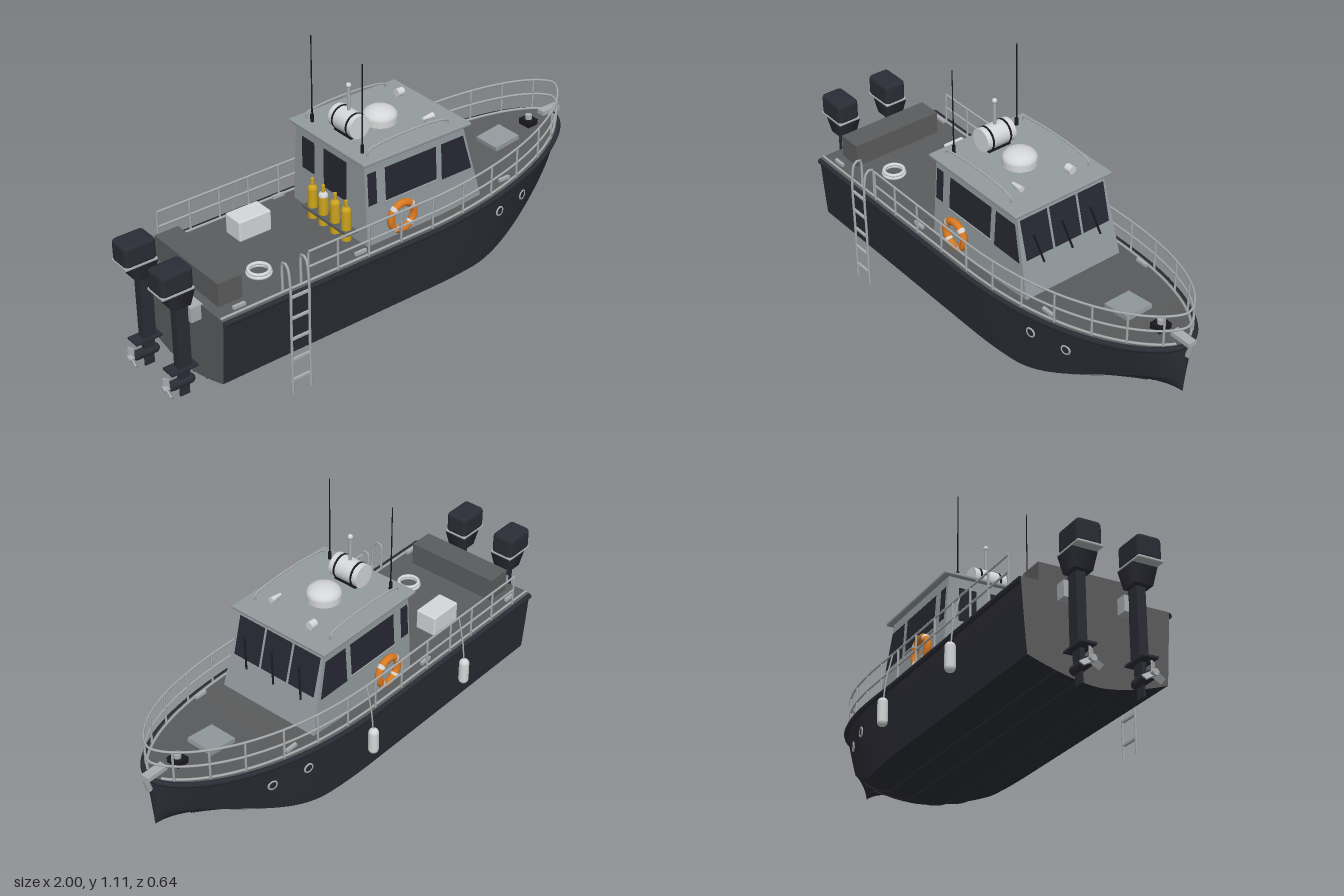
import * as THREE from 'three';
import { RoundedBoxGeometry } from 'three/addons/geometries/RoundedBoxGeometry.js';

const mat = (name, color, side = THREE.FrontSide) => {
  const m = new THREE.MeshStandardMaterial({ color, side });
  m.name = name;
  return m;
};
const V = (x, y, z) => new THREE.Vector3(x, y, z);
const lerp = THREE.MathUtils.lerp;

// Hull lines as functions of the station x
const STERN = -0.84, BOW = 0.96;
const run = x => THREE.MathUtils.clamp((x - 0.1) / 0.86, 0, 1);
const beam = x => 0.008 + 0.277 * Math.pow(1 - Math.pow(run(x), 2.4), 0.6);
const sheer = x => 0.415 + 0.085 * Math.pow(run(x), 1.5);
const keel = x => 0.08 + 0.2 * THREE.MathUtils.smoothstep(x, 0.33, BOW);
const chine = x => 0.006 + 0.259 * Math.pow(1 - Math.pow(run(x), 2.2), 0.8);
// t: 0 at the keel, +-0.5 at the chine, +-1 at the sheer
function hullPoint(x, t, out = 0) {
  const a = Math.abs(t), s = Math.sign(t), k = keel(x), h = k + 0.062, c = chine(x);
  if (a <= 0.5) return V(x, k + 0.062 * Math.pow(a * 2, 1.6) - out, s * c * a * 2);
  const f = a * 2 - 1;
  return V(x, lerp(h, sheer(x), f), s * (lerp(c, beam(x), Math.pow(f, 0.9)) + out));
}
const station = u => lerp(STERN, BOW, 1 - Math.pow(1 - u, 1.6));

// Surface from a function of u and v
function grid(fn, nu, nv) {
  const pos = [], idx = [];
  for (let i = 0; i <= nu; i++) for (let j = 0; j <= nv; j++) pos.push(...fn(i / nu, j / nv).toArray());
  for (let i = 0; i < nu; i++) for (let j = 0; j < nv; j++) {
    const a = i * (nv + 1) + j, b = a + nv + 1;
    idx.push(a, b, a + 1, b, b + 1, a + 1);
  }
  const g = new THREE.BufferGeometry();
  g.setAttribute('position', new THREE.Float32BufferAttribute(pos, 3));
  g.setIndex(idx);
  g.computeVertexNormals();
  return g;
}
const box = (w, h, d) => new THREE.BoxGeometry(w, h, d);
const cyl = (r, h, r2 = r, n = 20) => new THREE.CylinderGeometry(r2, r, h, n);
const tube = (pts, r, n = 6, seg = pts.length * 4) => new THREE.TubeGeometry(
  pts.length === 2 ? new THREE.LineCurve3(...pts) : new THREE.CatmullRomCurve3(pts), pts.length === 2 ? 1 : seg, r, n);

export function createModel() {
  const root = new THREE.Group();
  root.name = 'patrolBoat';
  const D = THREE.DoubleSide;
  const hull = mat('hullNavy', 0x2b2c35, D), deck = mat('deckGrey', 0x5b5c5d, D), cabinM = mat('cabinGrey', 0x939b9e),
    glass = mat('darkGlass', 0x262732, D), metal = mat('railMetal', 0xa9adaf), white = mat('white', 0xd4d6d7),
    orange = mat('orange', 0xdb7a22), yellow = mat('yellow', 0xcba41e), black = mat('black', 0x1a1a1e),
    patchM = mat('patchGrey', 0x66686b, D);
  const add = (name, geo, m, x = 0, y = 0, z = 0, parent = root) => {
    const o = new THREE.Mesh(geo, m);
    o.name = name;
    o.position.set(x, y, z);
    parent.add(o);
    return o;
  };

  // Hull shell, transom, deck
  add('hullBottom', grid((u, v) => hullPoint(station(u), v - 0.5), 60, 20), hull);
  for (const s of [-1, 1]) add('hullSide', grid((u, v) => hullPoint(station(u), s * (0.5 + v / 2)), 60, 8), hull);
  add('transom', grid((u, v) => {
    const p = hullPoint(STERN, u * 2 - 1);
    return V(STERN, lerp(p.y, sheer(STERN), v), p.z);
  }, 40, 1), deck);
  add('stem', grid((u, v) => {
    const p = hullPoint(BOW, u);
    return V(BOW, p.y, p.z * (v * 2 - 1));
  }, 10, 1), hull);
  add('deck', grid((u, v) => {
    const x = station(u);
    return V(x, sheer(x) - 0.003, (v * 2 - 1) * beam(x));
  }, 60, 2), deck);

  const stations = Array.from({ length: 40 }, (_, i) => station(i / 39));
  for (const s of [-1, 1]) {
    // Rub rail, gunwale cap, bottom strakes
    add('rubRail', tube(stations.map(x => V(x, sheer(x) - 0.012, s * beam(x))), 0.011, 8), hull);
    add('gunwaleCap', tube(stations.slice(0, 38).map(x => V(x, sheer(x) + 0.002, s * Math.max(beam(x) - 0.018, 0.004))), 0.005), metal);
    for (const t of [0.14, 0.3]) add('strake', tube(stations.slice(0, 33).map(x => hullPoint(x, s * t)), 0.004, 5), hull);
    // Checkered plates under the bow
    [[0.0, 0.6], [0.14, 0.58], [0.14, 0.68], [0.25, 0.63], [0.36, 0.58], [0.38, 0.67]].forEach(([t, x], i) =>
      add('bowPlate', grid((u, v) => hullPoint(x + (i ? 0.05 : 0.07) * u, s * (t + (i ? 0.09 : 0.03) * v), 0.004), 4, 4), patchM));
    // Portholes
    for (const x of [0.45, 0.6]) {
      const f = (0.345 - keel(x) - 0.062) / (sheer(x) - keel(x) - 0.062), t = s * (0.5 + f / 2);
      const p = hullPoint(x, t, 0.002), q = hullPoint(x + 0.02, t, 0.002);
      const g = new THREE.Group();
      g.name = 'porthole';
      g.position.copy(p);
      g.rotation.y = Math.atan2(-(q.z - p.z), 0.02);
      root.add(g);
      add('portholeRim', new THREE.TorusGeometry(0.017, 0.004, 8, 24), metal, 0, 0, 0, g);
      add('portholeGlass', new THREE.CircleGeometry(0.016, 20), glass, 0, 0, s * 0.002, g);
    }
    // Cleats
    for (const x of [-0.75, -0.22, 0.5]) add('cleat', box(0.05, 0.012, 0.012), metal, x, sheer(x) + 0.012, s * (beam(x) - 0.035));
  }

  // Guard rails: two runs each side meeting at the bow, with posts
  const railPt = (x, s, h) => V(x, sheer(x) + h, s * Math.max(beam(x) - 0.012, 0));
  const railX = from => stations.filter(x => x > from + 0.01 && x < 0.957);
  for (const h of [0.065, 0.128]) {
    const right = [-0.74, ...railX(-0.74)], left = [-0.47, ...railX(-0.47)];
    const path = [...right.map(x => railPt(x, -1, h)), V(0.96, sheer(BOW) + h, 0), ...left.reverse().map(x => railPt(x, 1, h))];
    add('guardRail', tube(path, 0.0045, 6, 200), metal);
  }
  for (const s of [-1, 1]) for (const x of [-0.74, -0.6, -0.47, -0.34, -0.2, -0.05, 0.1, 0.25, 0.4, 0.55, 0.7, 0.82, 0.92])
    if (s < 0 || x > -0.5) add('railPost', tube([railPt(x, s, 0), railPt(x, s, 0.128)], 0.0045), metal);

  // Cabin: a box narrowed upward with a raked front
  const ty = y => (y - 0.41) / 0.34;
  const front = y => lerp(0.385, 0.297, ty(y)), wall = y => lerp(0.222, 0.2, ty(y)), BACK = -0.165;
  const cabinG = box(1, 1, 1), P = cabinG.attributes.position;
  for (let i = 0; i < P.count; i++) {
    const y = lerp(0.41, 0.75, P.getY(i) + 0.5);
    P.setXYZ(i, P.getX(i) > 0 ? front(y) : BACK, y, Math.sign(P.getZ(i)) * wall(y));
  }
  cabinG.computeVertexNormals();
  add('cabin', cabinG, cabinM);
  add('roof', new RoundedBoxGeometry(0.505, 0.014, 0.446, 2, 0.005), cabinM, 0.07, 0.752, 0);
  for (const s of [-1, 1]) {
    for (const [a, b, y0] of [[-0.155, -0.115, 0.575], [-0.075, 0.165, 0.572], [0.19, null, 0.56]])
      add('sideWindow', grid((u, v) => {
        const y = lerp(y0, 0.705, v);
        return V(lerp(a, b ?? front(y) - 0.012, u), y, s * (wall(y) + 0.003));
      }, 1, 1), glass);
    add('windowSill', box(0.25, 0.008, 0.008), cabinM, 0.045, 0.565, s * 0.214);
    // Life ring with bands
    const ring = new THREE.Group();
    ring.name = 'lifeRing';
    ring.position.set(-0.015, 0.495, s * 0.236);
    root.add(ring);
    add('ringBody', new THREE.TorusGeometry(0.054, 0.0145, 12, 40), orange, 0, 0, 0, ring);
    for (let i = 0; i < 4; i++) {
      const b = add('ringBand', new THREE.TorusGeometry(0.054, 0.0155, 12, 4, 0.25), white, 0, 0, 0, ring);
      b.rotation.z = i * Math.PI / 2 + 0.66;
    }
    // Roof grab rails and whip antennas
    add('roofRail', tube([V(-0.13, 0.755, s * 0.18), V(-0.13, 0.78, s * 0.18), V(0.24, 0.78, s * 0.18), V(0.24, 0.755, s * 0.18)], 0.004, 6, 60), metal);
    add('antennaBase', cyl(0.007, 0.035), black, -0.13, 0.772, s * 0.147);
    add('antenna', cyl(0.003, 0.34, 0.002, 6), black, -0.13, 0.94, s * 0.147);
  }
  for (const z of [-0.132, 0, 0.132]) {
    add('windscreen', grid((u, v) => {
      const y = lerp(0.568, 0.722, v);
      return V(front(y) + 0.003, y, z + (u - 0.5) * 0.122);
    }, 1, 1), glass);
    add('wiper', tube([V(front(0.66) + 0.012, 0.66, z + 0.02), V(front(0.54) + 0.008, 0.54, z - 0.01)], 0.004), black);
  }
  add('doorWindow', box(0.006, 0.16, 0.13), glass, BACK - 0.001, 0.63, 0.035);
  add('rearWindow', box(0.006, 0.13, 0.07), glass, BACK - 0.001, 0.64, -0.125);

  // Roof gear
  add('raftCanister', cyl(0.046, 0.13, 0.046, 28), white, -0.075, 0.806, 0).rotation.x = Math.PI / 2;
  for (const z of [-0.04, 0.04]) add('canisterStrap', cyl(0.0475, 0.008, 0.0475, 28), black, -0.075, 0.806, z).rotation.x = Math.PI / 2;
  add('canisterCradle', box(0.06, 0.02, 0.1), black, -0.075, 0.766, 0);
  add('mast', cyl(0.006, 0.2), metal, -0.075, 0.85, 0);
  add('mastLight', new THREE.SphereGeometry(0.01, 14, 10), white, -0.075, 0.951, 0);
  add('radarBase', cyl(0.066, 0.025, 0.066, 32), white, 0.07, 0.77, 0);
  add('radarDome', new THREE.SphereGeometry(0.066, 32, 10, 0, Math.PI * 2, 0, Math.PI / 2), white, 0.07, 0.782, 0).scale.y = 0.55;
  add('searchlight', cyl(0.016, 0.03), white, 0.24, 0.782, -0.093).rotation.z = Math.PI / 2;
  add('searchlightStem', cyl(0.006, 0.025), metal, 0.24, 0.767, -0.093);
  add('horn', cyl(0.006, 0.05, 0.012), white, 0.2, 0.777, 0.117).rotation.z = -Math.PI / 2;
  add('hornStem', cyl(0.005, 0.025), metal, 0.19, 0.767, 0.117);

  // Gas bottles behind the cabin
  [-0.065, 0, 0.07, 0.135].forEach((z, i) => {
    add('bottle', cyl(0.019, 0.12), yellow, -0.195, 0.475, z);
    add('bottleShoulder', new THREE.SphereGeometry(0.019, 16, 10), i === 1 ? white : yellow, -0.195, 0.535, z);
    add('bottleValve', cyl(0.007, 0.03), yellow, -0.195, 0.565, z);
  });
  add('bottleRack', box(0.05, 0.01, 0.27), deck, -0.195, 0.455, 0.035);

  // Deck fittings
  add('sternLocker', box(0.1, 0.095, 0.395), deck, -0.75, 0.46, 0.002);
  add('storageBox', new RoundedBoxGeometry(0.142, 0.085, 0.09, 2, 0.006), white, -0.44, 0.457, -0.13);
  for (const [r, y] of [[0.042, 0.419], [0.039, 0.43]]) add('ropeCoil', new THREE.TorusGeometry(r, 0.007, 8, 32), white, -0.57, y, 0.115).rotation.x = Math.PI / 2;
  add('bowHatch', box(0.12, 0.018, 0.115), cabinM, 0.67, 0.474, 0).rotation.z = 0.13;
  add('winch', box(0.05, 0.025, 0.055), black, 0.835, 0.492, 0);
  add('winchDrum', cyl(0.014, 0.035), metal, 0.835, 0.505, 0);
  add('anchorRoller', box(0.09, 0.018, 0.035), metal, 0.945, 0.51, 0);
  add('anchor', tube([V(1.0 - 0.011, 0.505, 0), V(0.972, 0.45, 0)], 0.011, 10), metal);

  // Boarding ladder
  for (const x of [-0.575, -0.495])
    add('ladderRail', tube([V(x, 0, 0.308), V(x, 0.25, 0.308), V(x, 0.47, 0.307), V(x, 0.535, 0.292), V(x, 0.54, 0.268), V(x, 0.42, 0.262)], 0.005, 8, 40), metal);
  for (let y = 0.06; y < 0.45; y += 0.088) add('ladderRung', box(0.08, 0.008, 0.01), metal, -0.535, y, 0.308);

  // Fenders
  for (const x of [-0.39, 0.15]) {
    add('fender', new THREE.CapsuleGeometry(0.02, 0.075, 6, 18), white, x, 0.305, -0.308);
    add('fenderRope', tube([V(x, 0.35, -0.306), V(x, 0.43, -0.297), V(x, 0.54, -0.273)], 0.003), metal);
  }

  // Outboard engines
  for (const z of [-0.115, 0.115]) {
    const e = new THREE.Group();
    e.name = 'outboard';
    e.position.z = z;
    root.add(e);
    const part = (n, g, m, x, y) => add(n, g, m, x, y, 0, e);
    part('cowling', new RoundedBoxGeometry(0.13, 0.095, 0.096, 3, 0.018), hull, -0.932, 0.546);
    part('cowlingBand', new RoundedBoxGeometry(0.132, 0.012, 0.098, 2, 0.005), metal, -0.932, 0.504);
    part('lowerCowl', cyl(0.05, 0.07, 0.068, 4).rotateY(Math.PI / 4), hull, -0.915, 0.467);
    part('leg', box(0.052, 0.29, 0.035), hull, -0.905, 0.31);
    part('bracket', box(0.05, 0.06, 0.07), metal, -0.857, 0.385);
    part('cavitationPlate', box(0.11, 0.008, 0.06), hull, -0.915, 0.165);
    part('lowerLeg', box(0.045, 0.07, 0.018), hull, -0.905, 0.13);
    part('gearcase', new THREE.CapsuleGeometry(0.019, 0.075, 6, 14).rotateZ(Math.PI / 2), hull, -0.918, 0.1);
    part('skeg', box(0.04, 0.05, 0.007), hull, -0.905, 0.065);
    part('propHub', cyl(0.012, 0.03).rotateZ(Math.PI / 2), metal, -0.98, 0.1);
    for (let i = 0; i < 3; i++)
      part('propBlade', box(0.005, 0.036, 0.024).rotateY(0.6).translate(0, 0.024, 0).rotateX(i * Math.PI * 2 / 3), metal, -0.978, 0.1);
  }
  return root;
}
